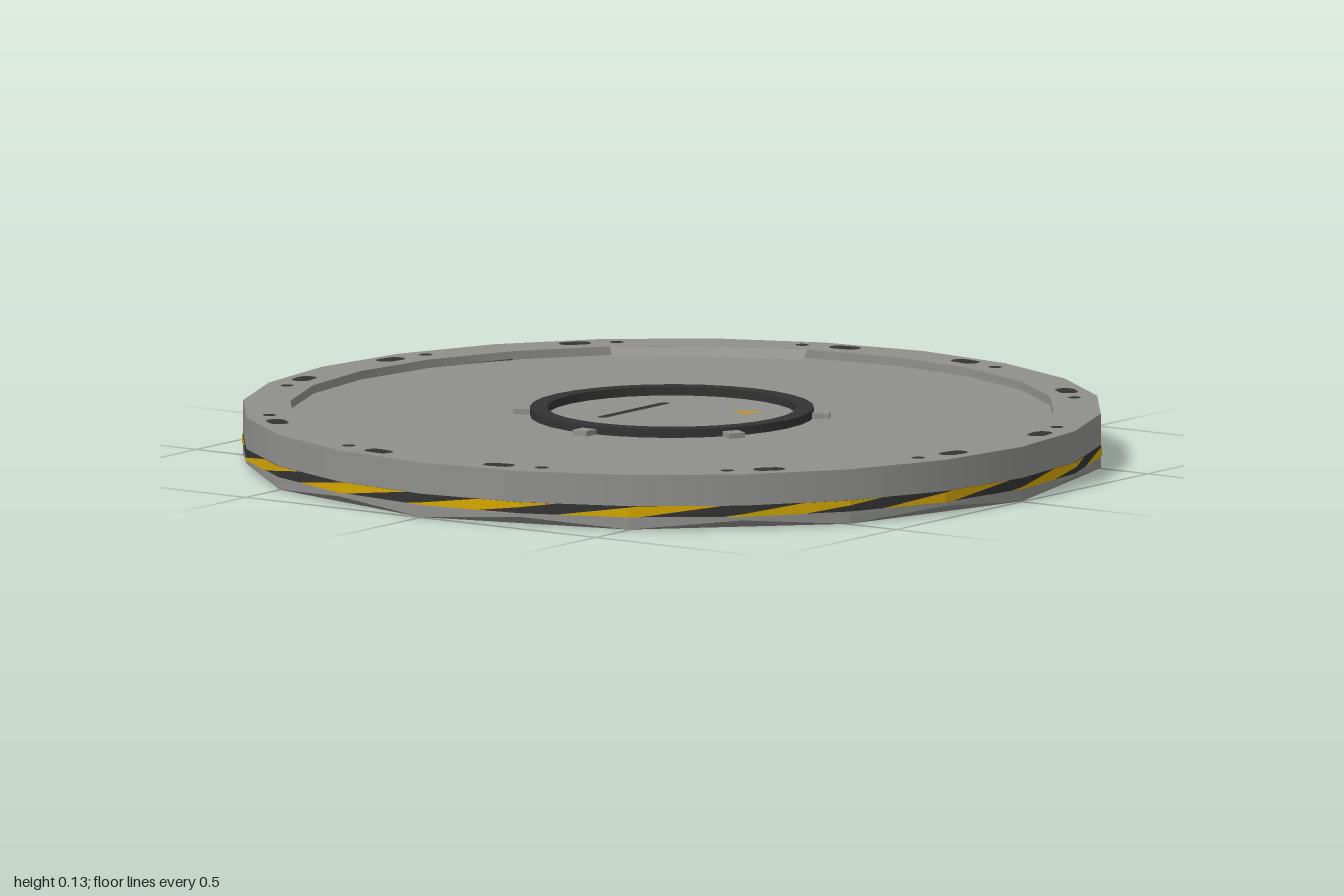
import * as THREE from 'three';

const grey = new THREE.MeshStandardMaterial({ color: 0x8f8f8c });
const dark = new THREE.MeshStandardMaterial({ color: 0x333333 });
const yellow = new THREE.MeshStandardMaterial({ color: 0xd4a600 });
const amber = new THREE.MeshStandardMaterial({ color: 0xb89038 });
const H = 0.128, FLOOR = 0.108, BEVEL = 0.02, INNER = 0.89, SIDES = 24;
const rad = THREE.MathUtils.degToRad;

// Angles run from +z towards +x
const polar = (deg, r, y) => [Math.sin(rad(deg)) * r, y, Math.cos(rad(deg)) * r];

// Radius of the many-sided outline at any angle
function outline(deg, r) {
  const a = (((deg % 15) + 15) % 15) - 7.5;
  return r * Math.cos(rad(7.5)) / Math.cos(rad(a));
}

export function createModel() {
  const group = new THREE.Group();
  const add = (name, geometry, material, parent = group) => {
    const mesh = new THREE.Mesh(geometry, material);
    mesh.name = name;
    parent.add(mesh);
    return mesh;
  };
  const triangles = (name, points, material) => {
    const g = new THREE.BufferGeometry();
    g.setAttribute('position', new THREE.Float32BufferAttribute(points.flat(), 3));
    g.computeVertexNormals();
    return add(name, g, material);
  };
  // One lathe per profile segment keeps the profile corners sharp
  const turned = (name, profile, sides, material) => {
    for (let i = 0; i + 1 < profile.length; i++) {
      const pts = [profile[i], profile[i + 1]].map(p => new THREE.Vector2(...p));
      add(name, new THREE.LatheGeometry(pts, sides), material);
    }
  };
  // Flat shape lying on the deck, shape y pointing to -z
  const decal = (name, shape, y, material) => {
    const g = new THREE.ShapeGeometry(shape, 8);
    g.rotateX(-Math.PI / 2).translate(0, y, 0);
    return add(name, g, material);
  };

  // Platform: side wall, rim, inner step and recessed deck
  turned('platform', [[1, BEVEL], [1, H], [INNER, H], [INNER, FLOOR], [0, FLOOR]], SIDES, grey);

  // Underside with half as many sides, joined to the wall by facets
  add('underside', new THREE.CircleGeometry(1, 12).rotateX(Math.PI / 2), grey);
  const facets = [];
  for (let a = 0; a < 360; a += 30) {
    const e1 = polar(a, 1, 0), e2 = polar(a + 30, 1, 0), m = polar(a + 15, 1, BEVEL);
    facets.push(e1, e2, m, polar(a, 1, BEVEL), e1, m, m, e2, polar(a + 30, 1, BEVEL));
  }
  triangles('lowerFacets', facets, grey);

  // Hazard band: dark ring with slanted yellow stripes
  add('hazardBand', new THREE.CylinderGeometry(1.001, 1.001, 0.026, SIDES, 1, true), dark).position.y = 0.042;
  const stripes = [], step = 1.25, width = 11.25;
  for (let s = 0; s < 16; s++) {
    for (let c = 0; c < 18; c++) {
      const corner = (col, upper) => {
        const a = col * step, deg = s * 22.5 - 2.5 + a;
        const t = upper ? Math.min(1, a / width) : Math.max(0, (a - width) / width);
        return polar(deg, outline(deg, 1.003), 0.029 + 0.026 * t);
      };
      const bl = corner(c, false), br = corner(c + 1, false);
      const tl = corner(c, true), tr = corner(c + 1, true);
      stripes.push(bl, br, tr, bl, tr, tl);
    }
  }
  triangles('hazardStripes', stripes, yellow);

  // Three sloping ramps between rim and deck
  const ramps = [];
  for (const mid of [0, 120, 240]) {
    for (const a of [mid - 15, mid]) {
      const o1 = polar(a, INNER - 0.002, H), o2 = polar(a + 15, INNER - 0.002, H);
      const i1 = polar(a, INNER - 0.03, FLOOR), i2 = polar(a + 15, INNER - 0.03, FLOOR);
      ramps.push(i1, o1, o2, i1, o2, i2);
    }
  }
  triangles('rimRamps', ramps, grey);

  // Raised centre ring with six brackets
  turned('centreRing', [[0.33, FLOOR], [0.33, H], [0.29, H], [0.29, FLOOR]], 32, dark);
  for (let k = 0; k < 6; k++) {
    const bracket = add('ringBracket', new THREE.BoxGeometry(0.04, 0.013, 0.04), grey);
    bracket.position.set(...polar(30 + k * 60 + 60, 0.348, FLOOR + 0.006));
    bracket.rotation.y = rad(90 + k * 60);
  }

  // Rounded slots on the rim, each with a small hole beside it
  for (let q = 0; q < 4; q++) {
    for (const [big, small] of [[10.5, 17], [40.5, 46.5], [79.5, 73]]) {
      for (const [deg, w, h] of [[big, 0.076, 0.046], [small, 0.032, 0.03]]) {
        const r = h / 2, x = w / 2 - r;
        const shape = new THREE.Shape();
        shape.absarc(x, 0, r, -Math.PI / 2, Math.PI / 2);
        shape.absarc(-x, 0, r, Math.PI / 2, Math.PI * 1.5);
        const slot = decal('rimSlot', shape, H + 0.0015, dark);
        const a = 180 - deg - q * 90;
        const p = polar(a, 0.943, 0);
        slot.position.set(p[0], 0, p[2]);
        slot.rotation.y = rad(a);
      }
    }
  }

  // Deck slot and warning triangle
  const bar = new THREE.Shape();
  bar.absarc(0.122, 0.11, 0.012, -Math.PI / 2, Math.PI / 2);
  bar.absarc(-0.122, 0.11, 0.012, Math.PI / 2, Math.PI * 1.5);
  decal('deckSlot', bar, FLOOR + 0.002, dark);
  const poly = pts => new THREE.Shape(pts.map(p => new THREE.Vector2(...p)));
  decal('warningTriangle', poly([[0.09, -0.145], [0.165, -0.145], [0.128, -0.08]]), FLOOR + 0.002, amber);

  // Service hatch: wedge on the deck and plate on the underside
  decal('hatchWedge', poly([[0.29, 0.84], [0.43, 0.76], [0.445, 0.785]]), FLOOR + 0.002, dark);
  const hatch = add('hatchPlate', new THREE.BoxGeometry(0.37, 0.008, 0.12), dark);
  hatch.position.set(...polar(161, 0.885, 0.003));
  hatch.rotation.y = rad(161);
  return group;
}
